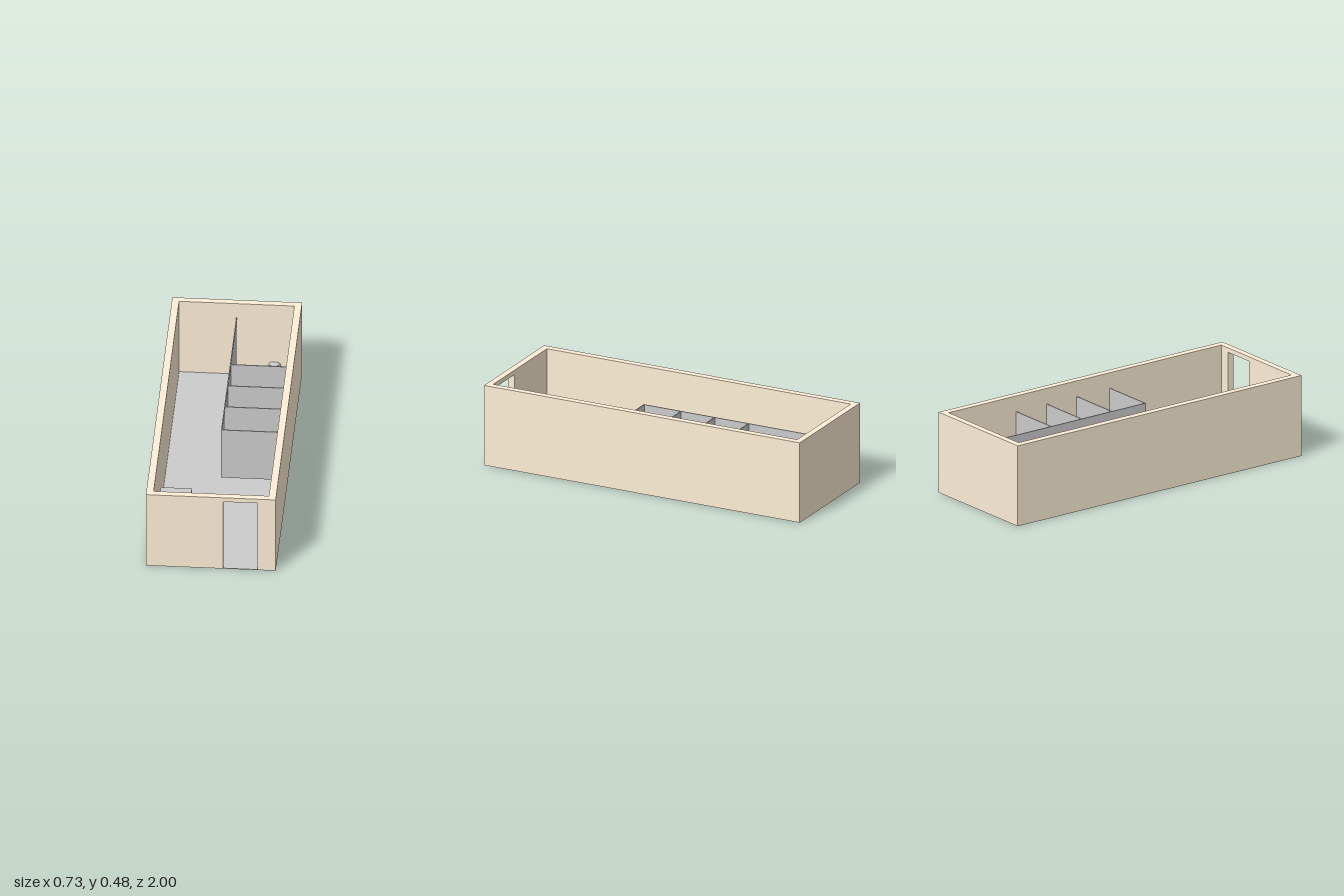
import * as THREE from 'three';

const grey = new THREE.MeshStandardMaterial({ color: 0xcccccc });
const ceramic = new THREE.MeshStandardMaterial({ color: 0xcccccc, side: THREE.DoubleSide });
const beige = new THREE.MeshStandardMaterial({ color: 0xfdeed6 });

const W = 0.365, L = 1, H = 0.477;      // outer half width, half length, wall height
const IW = 0.324, IL = 0.962;           // inner half width, half length
const DOOR = { x0: 0.07, x1: 0.263, top: 0.45 };

// Box given by its minimum and maximum corners
function box(name, material, [x0, y0, z0], [x1, y1, z1]) {
  const g = new THREE.BoxGeometry(x1 - x0, y1 - y0, z1 - z0);
  g.translate((x0 + x1) / 2, (y0 + y1) / 2, (z0 + z1) / 2);
  const mesh = new THREE.Mesh(g, material);
  mesh.name = name;
  return mesh;
}

// Smooth skin over closed rings; point(ring, angle) gives one vertex
function loft(rings, point, n = 32) {
  const pos = [], idx = [];
  rings.forEach((ring, i) => {
    for (let j = 0; j < n; j++) {
      pos.push(...point(ring, (j / n) * Math.PI * 2));
      if (i === rings.length - 1) continue;
      const a = i * n + j, b = i * n + (j + 1) % n;
      idx.push(a, a + n, b, b, a + n, b + n);
    }
  });
  const g = new THREE.BufferGeometry();
  g.setAttribute('position', new THREE.Float32BufferAttribute(pos, 3));
  g.setIndex(idx);
  g.computeVertexNormals();
  return g;
}

// Wall-hung toilet, wall at z = 0, facing +z
function createToilet() {
  const toilet = new THREE.Group();
  toilet.name = 'toilet';

  // Bowl rings: height, centre z, half length, half width
  const bowlRings = [
    [0.03, 0.109, 0.001, 0.001], [0.03, 0.109, 0.009, 0.009], [0.042, 0.109, 0.012, 0.011],
    [0.052, 0.105, 0.023, 0.018], [0.065, 0.1, 0.043, 0.032], [0.08, 0.094, 0.058, 0.042],
    [0.09, 0.0925, 0.0625, 0.046], [0.095, 0.0925, 0.061, 0.045], [0.096, 0.095, 0.052, 0.036],
    [0.092, 0.097, 0.047, 0.031], [0.075, 0.095, 0.038, 0.026], [0.06, 0.088, 0.02, 0.015],
    [0.055, 0.085, 0.001, 0.001],
  ];
  const bowl = new THREE.Mesh(loft(bowlRings, ([y, c, a, b], t) =>
    [b * Math.cos(t) * (1 - 0.12 * Math.sin(t)), y, c + a * Math.sin(t)]), ceramic);
  bowl.name = 'bowl';

  // Neck rings from bowl to wall: z, half width, bottom, top
  const neckRings = [
    [0.06, 0.028, 0.066, 0.091], [0.045, 0.025, 0.057, 0.092],
    [0.025, 0.022, 0.047, 0.092], [0.01, 0.026, 0.04, 0.093], [0, 0.033, 0.036, 0.094],
  ];
  const squared = (v) => Math.sign(v) * Math.sqrt(Math.abs(v));
  const neck = new THREE.Mesh(loft(neckRings, ([z, w, y0, y1], t) =>
    [w * squared(Math.cos(t)), (y0 + y1) / 2 + (y1 - y0) / 2 * squared(Math.sin(t)), z]), ceramic);
  neck.name = 'wallNeck';

  toilet.add(bowl, neck);
  return toilet;
}

export function createModel() {
  const model = new THREE.Group();
  model.name = 'restroom';

  // Outer walls
  const walls = new THREE.Group();
  walls.name = 'walls';
  walls.add(
    box('leftWall', beige, [IW, 0, -L], [W, H, L]),
    box('rightWall', beige, [-W, 0, -L], [-IW, H, L]),
    box('backWall', beige, [-IW, 0, -L], [IW, H, -IL]),
  );

  // Front wall with doorway
  const outline = new THREE.Shape([
    [-IW, 0], [DOOR.x0, 0], [DOOR.x0, DOOR.top], [DOOR.x1, DOOR.top],
    [DOOR.x1, 0], [IW, 0], [IW, H], [-IW, H],
  ].map(([x, y]) => new THREE.Vector2(x, y)));
  const frontWall = new THREE.Mesh(
    new THREE.ExtrudeGeometry(outline, { depth: L - IL, bevelEnabled: false }), beige);
  frontWall.position.z = IL;
  frontWall.name = 'frontWall';
  walls.add(frontWall);

  // Floor and doorway threshold
  model.add(walls,
    box('floor', grey, [-IW, 0, -IL], [IW, 0.003, IL]),
    box('threshold', grey, [DOOR.x0, 0, IL], [DOOR.x1, 0.003, L]),
    box('counter', grey, [-IW, 0, 0.43], [-0.148, 0.15, IL]));

  // Stall partitions, raised off the floor
  const stalls = new THREE.Group();
  stalls.name = 'stallPartitions';
  const y0 = 0.065, y1 = 0.385, t = 0.003;
  stalls.add(box('stallFront', grey, [-t, y0, -IL], [t, y1, 0.18]));
  for (const z of [-0.485, -0.27, -0.057, 0.177])
    stalls.add(box('stallDivider', grey, [t, y0, z - t], [IW, y1, z + t]));
  model.add(stalls);

  // Three toilets on the left wall, one on the back wall
  for (const z of [-0.378, -0.163, 0.052]) {
    const toilet = createToilet();
    toilet.position.set(IW, 0, z);
    toilet.rotation.y = -Math.PI / 2;
    model.add(toilet);
  }
  const backToilet = createToilet();
  backToilet.position.set(0.213, 0, -IL);
  model.add(backToilet);

  return model;
}
